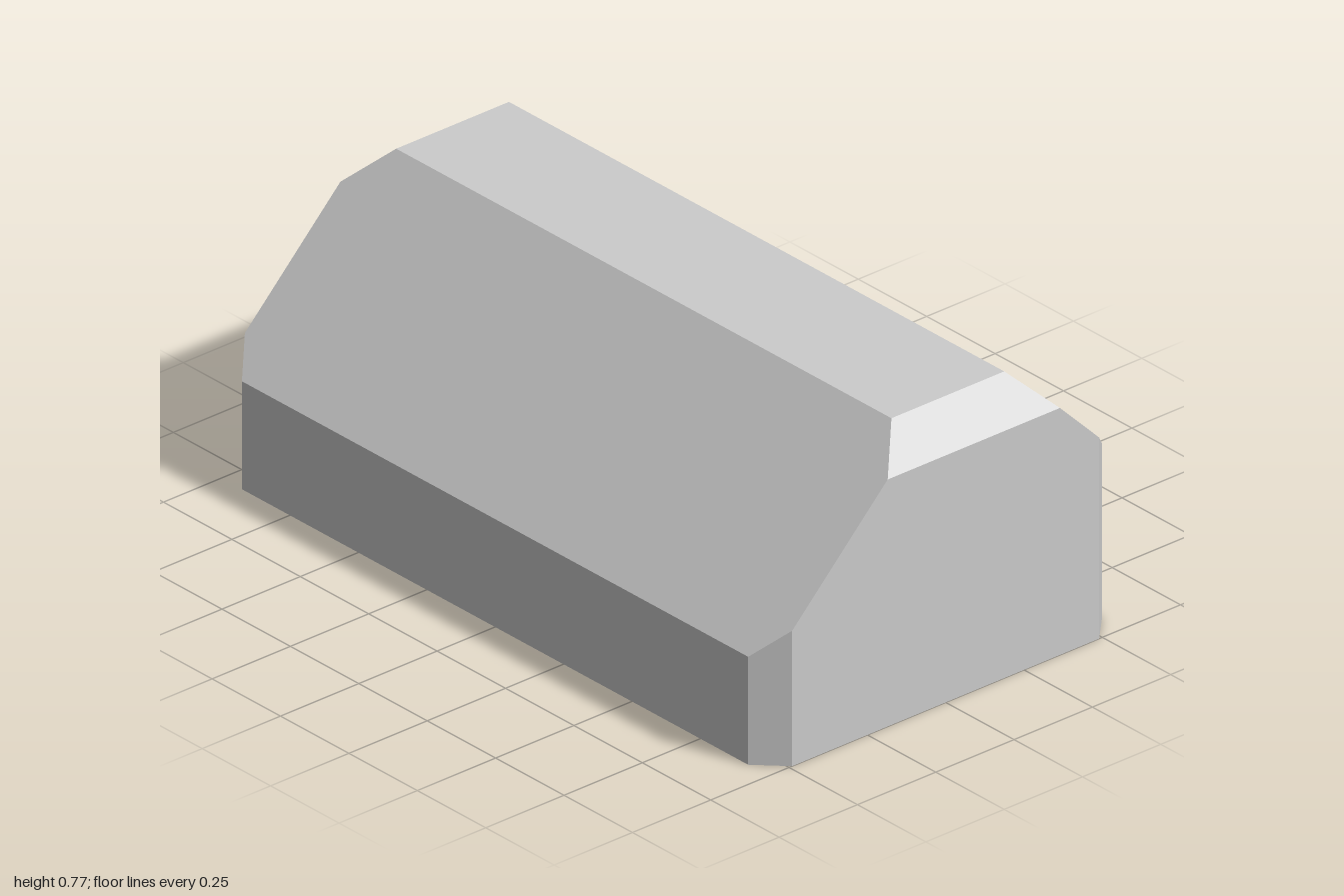
import * as THREE from 'three';
import { ConvexGeometry } from 'three/addons/geometries/ConvexGeometry.js';

export function createModel() {
  const group = new THREE.Group();
  group.name = 'chamferedBlock';

  // Half-length in z, then the x, y corners that lie at that depth
  const sections = [
    // flat end faces
    [1, [[-0.49, 0], [-0.49, 0.37], [-0.185, 0.675], [0.365, 0.675], [0.49, 0.55], [0.49, 0]]],
    // side walls, set back by the vertical corner chamfers
    [0.925, [[-0.565, 0], [-0.565, 0.295], [0.565, 0.475], [0.565, 0]]],
    // flat top strip, set back by the sloped end chamfers
    [0.905, [[-0.09, 0.77], [0.27, 0.77]]],
  ];

  // Mirror every corner front to back and wrap the planar faces around them
  const points = [];
  for (const [z, corners] of sections) {
    for (const [x, y] of corners) {
      points.push(new THREE.Vector3(x, y, z), new THREE.Vector3(x, y, -z));
    }
  }

  const body = new THREE.Mesh(
    new ConvexGeometry(points),
    new THREE.MeshStandardMaterial({ color: 0xcccccc, flatShading: true })
  );
  body.name = 'body';
  group.add(body);
  return group;
}
